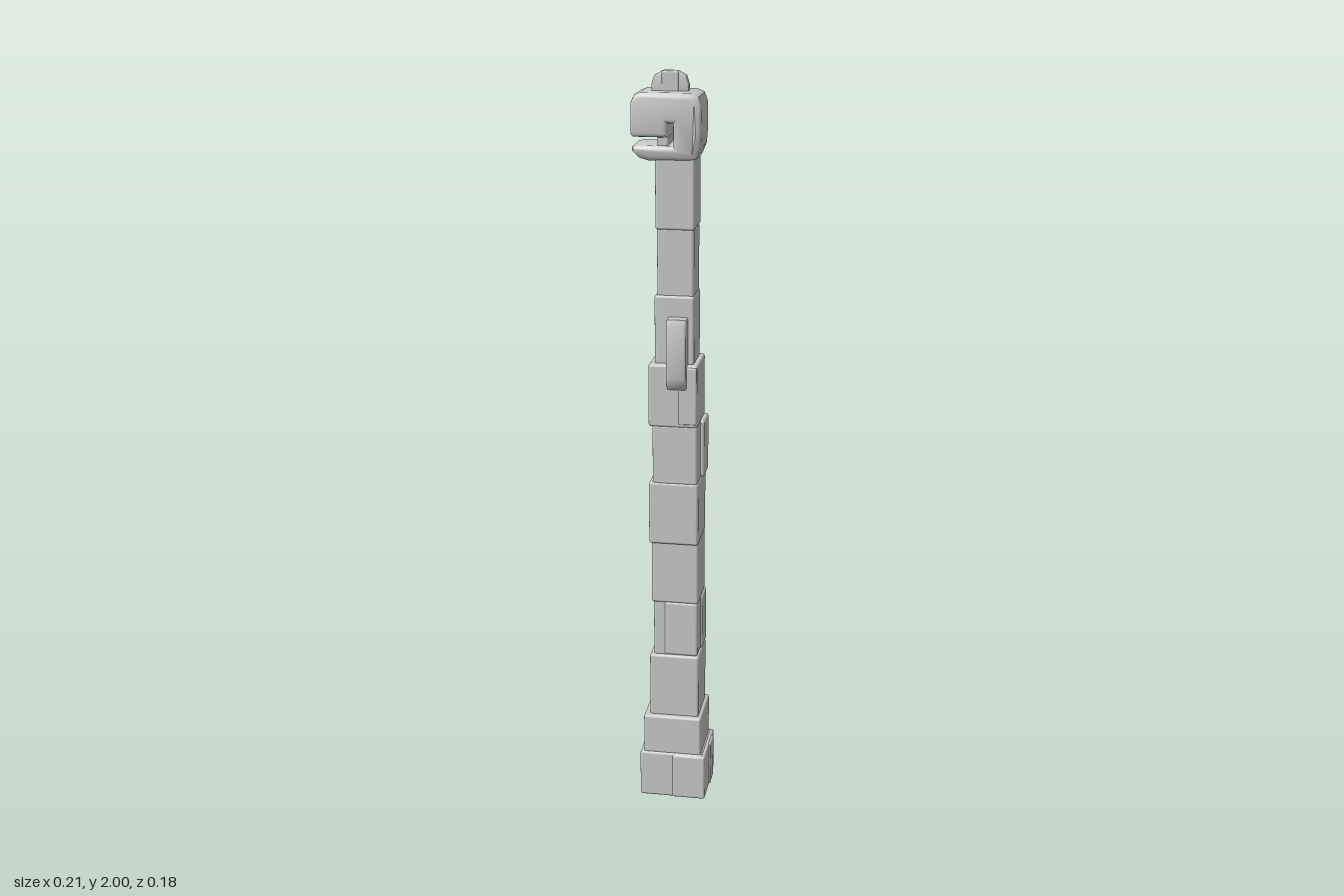
import * as THREE from 'three';
import { RoundedBoxGeometry } from 'three/addons/geometries/RoundedBoxGeometry.js';
import { toCreasedNormals } from 'three/addons/utils/BufferGeometryUtils.js';

const material = new THREE.MeshStandardMaterial({ color: 0xcccccc });

function add(group, name, geometry) {
  const mesh = new THREE.Mesh(geometry, material);
  mesh.name = name;
  group.add(mesh);
  return mesh;
}

// Softly worn box between two corners
function block(group, name, [x0, x1], [y0, y1], [z0, z1], radius = 0.007) {
  const w = x1 - x0, h = y1 - y0, d = z1 - z0;
  const geo = new RoundedBoxGeometry(w, h, d, 2, Math.min(radius, w / 3, h / 3, d / 3));
  geo.translate((x0 + x1) / 2, (y0 + y1) / 2, (z0 + z1) / 2);
  return add(group, name, geo);
}

// Bevelled plate whose outline and total depth stay exact
function plate(points, depth, bevel) {
  const shape = new THREE.Shape(points.map(([x, y]) => new THREE.Vector2(x, y)));
  const geo = new THREE.ExtrudeGeometry(shape, {
    depth: depth - 2 * bevel, bevelEnabled: true, bevelSize: bevel,
    bevelThickness: bevel, bevelOffset: -bevel, bevelSegments: 3,
  });
  return geo.translate(0, 0, bevel);
}

export function createModel() {
  const model = new THREE.Group();
  model.name = 'stoneTower';

  // Stacked courses: [bottom, top, x min, x max, z min, z max]
  const courses = [
    [0, 0.135, -0.085, 0.09, -0.085, 0.085],
    [0.13, 0.245, -0.075, 0.085, -0.08, 0.08],
    [0.24, 0.425, -0.06, 0.076, -0.067, 0.065],
    [0.42, 0.585, -0.05, 0.07, -0.064, 0.056],
    [0.58, 0.76, -0.055, 0.073, -0.06, 0.06],
    [0.755, 0.93, -0.06, 0.073, -0.067, 0.07],
    [0.925, 1.09, -0.05, 0.07, -0.062, 0.068],
    [1.085, 1.255, -0.06, 0.07, -0.064, 0.07],
    [1.25, 1.435, -0.046, 0.058, -0.053, 0.053],
    [1.43, 1.61, -0.04, 0.056, -0.05, 0.047],
    [1.605, 1.8, -0.044, 0.058, -0.054, 0.05],
  ];
  courses.forEach(([y0, y1, x0, x1, z0, z1], i) =>
    block(model, i < 2 ? 'footing' : 'shaftBlock', [x0, x1], [y0, y1], [z0, z1]));

  // Facing slabs that stand slightly proud of the courses
  block(model, 'footingSlab', [0.005, 0.098], [0, 0.132], [-0.088, 0.088]);
  block(model, 'footingSideSlab', [0.04, 0.102], [0.005, 0.13], [-0.055, 0.005], 0.004);
  block(model, 'lowerSideSlab', [0.01, 0.077], [0.425, 0.582], [-0.07, 0.005]);
  block(model, 'lowerFrontSlab', [-0.02, 0.072], [0.425, 0.582], [0, 0.06]);
  block(model, 'upperSideSlab', [0.01, 0.08], [0.93, 1.087], [-0.07, 0.008]);
  block(model, 'middleBackSlab', [-0.02, 0.055], [0.76, 0.925], [-0.071, 0], 0.004);
  block(model, 'upperFrontSlab', [0.02, 0.068], [1.095, 1.25], [0, 0.073], 0.004);
  block(model, 'neckBackSlab', [0, 0.054], [1.435, 1.605], [-0.054, 0], 0.004);

  // Hooked head with an open slot on its right side
  const head = plate([
    [-0.08, 1.95], [-0.097, 1.943], [-0.105, 1.925], [-0.105, 1.848], [-0.1, 1.84],
    [-0.01, 1.84], [-0.01, 1.875], [0.003, 1.875], [0.003, 1.818], [-0.09, 1.818],
    [-0.102, 1.815], [-0.102, 1.804], [-0.085, 1.787], [-0.06, 1.78], [0.045, 1.78],
    [0.062, 1.787], [0.073, 1.815], [0.075, 1.85], [0.075, 1.92], [0.067, 1.942], [0.05, 1.95],
  ], 0.134, 0.013);
  head.translate(0, 0, -0.067);
  const p = head.attributes.position;
  for (let i = 0; i < p.count; i++) {
    const y = p.getY(i);
    const s = y < 1.85 ? THREE.MathUtils.mapLinear(y, 1.78, 1.85, 0.84, 1)
      : THREE.MathUtils.mapLinear(y, 1.85, 1.95, 1, 0.9);
    p.setZ(i, p.getZ(i) * s - 0.003);
  }
  add(model, 'hookedHead', toCreasedNormals(head, 0.7));
  block(model, 'slotTooth', [-0.04, -0.012], [1.815, 1.845], [-0.045, 0.04], 0.003);

  // Crest on top of the head: a low arch with a thicker middle
  const crest = plate([
    [-0.06, 1.94], [0.035, 1.94], [0.035, 1.966], [0.028, 1.988], [0.01, 1.998],
    [-0.012, 2], [-0.033, 1.998], [-0.052, 1.988], [-0.06, 1.966],
  ], 0.024, 0.004).translate(0, 0, -0.016);
  add(model, 'crest', toCreasedNormals(crest, 0.6));
  block(model, 'crestMiddle', [-0.033, 0.01], [1.94, 1.999], [-0.019, 0.011], 0.004);

  // Matching brackets on the front and back
  const outline = [[0.035, 1.19], [0.073, 1.19], [0.084, 1.205], [0.09, 1.225],
    [0.09, 1.36], [0.083, 1.38], [0.035, 1.38]];
  for (const side of [1, -1]) {
    const geo = plate(outline, 0.052, 0.005).rotateY(-side * Math.PI / 2);
    geo.translate(side > 0 ? 0.042 : -0.01, 0, 0);
    add(model, side > 0 ? 'frontBracket' : 'backBracket', toCreasedNormals(geo, 0.6));
  }
  return model;
}
